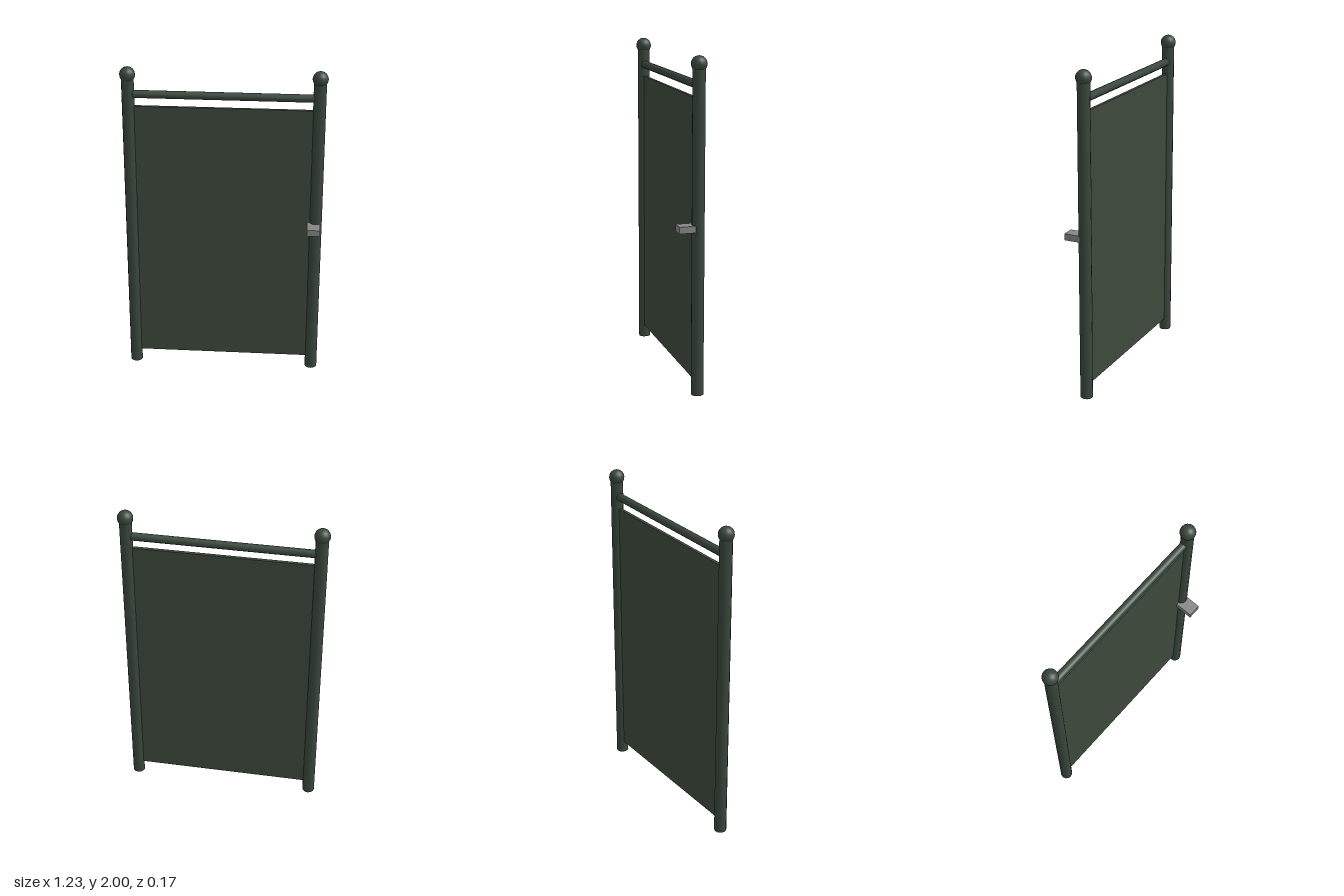
import * as THREE from 'three';

const frameGreen = new THREE.MeshStandardMaterial({ color: 0x39473c });
frameGreen.name = 'frame green';
const panelGreen = new THREE.MeshStandardMaterial({ color: 0x3d493c });
panelGreen.name = 'panel green';
const latchGrey = new THREE.MeshStandardMaterial({ color: 0x868686 });
latchGrey.name = 'latch grey';

const POST_X = 0.568; // post centre line
const GATE_Z = -0.037; // plane of the gate

export function createModel() {
  const gate = new THREE.Group();
  gate.name = 'gate';

  const add = (name, geometry, material, x, y, z = GATE_Z) => {
    const mesh = new THREE.Mesh(geometry, material);
    mesh.name = name;
    mesh.position.set(x, y, z);
    gate.add(mesh);
    return mesh;
  };

  // Round posts with ball caps
  for (const [side, s] of [['left', 1], ['right', -1]]) {
    add(side + 'Post', new THREE.CylinderGeometry(0.038, 0.038, 1.95, 12), frameGreen, s * POST_X, 0.975);
    add(side + 'PostCap', new THREE.SphereGeometry(0.047, 16, 12), frameGreen, s * POST_X, 1.953);
  }

  // Horizontal rail above the panel
  const rail = add('topRail', new THREE.CylinderGeometry(0.024, 0.024, POST_X * 2, 12), frameGreen, 0, 1.832);
  rail.rotation.z = Math.PI / 2;

  // Solid infill panel
  add('panel', new THREE.BoxGeometry(POST_X * 2, 1.68, 0.02), panelGreen, 0, 0.918);

  // Latch block on the front of the left post
  add('latch', new THREE.BoxGeometry(0.08, 0.04, 0.115), latchGrey, 0.557, 1.01, 0.026);

  return gate;
}
